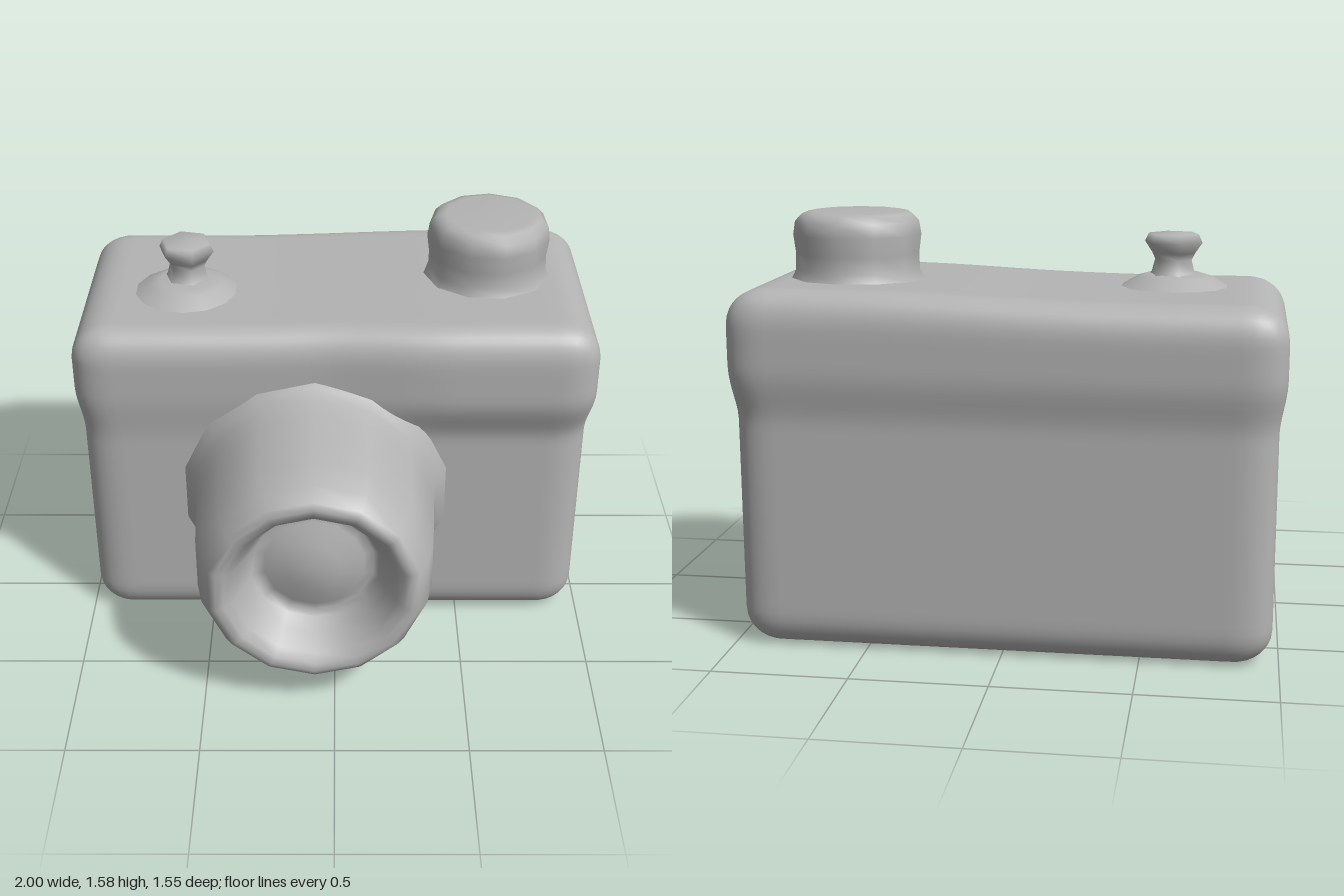
import * as THREE from 'three';
import { mergeVertices } from 'three/addons/utils/BufferGeometryUtils.js';

const { smoothstep, clamp } = THREE.MathUtils;

// Smooth turned part from [radius, height] pairs, listed bottom to top
function turned(profile, sides, turn = 0) {
  const points = profile.map(([r, h]) => new THREE.Vector2(r, h));
  return new THREE.LatheGeometry(points, sides).rotateY(turn);
}

// Moves every vertex by a rule
function reshape(geometry, rule) {
  const pos = geometry.attributes.position;
  const p = new THREE.Vector3();
  for (let i = 0; i < pos.count; i++) {
    p.fromBufferAttribute(pos, i);
    rule(p);
    pos.setXYZ(i, p.x, p.y, p.z);
  }
  return geometry;
}

// Box with rounded edges and a softly swollen upper band
function bodyGeometry() {
  const half = [0.975, 0.65, 0.463];
  const radius = [0.14, 0.13, 0.1];
  let geometry = new THREE.BoxGeometry(2, 2, 2, 48, 40, 32);
  geometry.deleteAttribute('uv');
  geometry.deleteAttribute('normal');
  geometry = mergeVertices(geometry);
  reshape(geometry, (p) => {
    const inner = new THREE.Vector3();
    const dir = new THREE.Vector3();
    ['x', 'y', 'z'].forEach((axis, i) => {
      const limit = half[i] - radius[i];
      const v = p[axis] * half[i];
      inner[axis] = clamp(v, -limit, limit);
      dir[axis] = (v - inner[axis]) / radius[i];
    });
    // round the edges
    dir.normalize();
    p.set(inner.x + dir.x * radius[0], inner.y + dir.y * radius[1], inner.z + dir.z * radius[2]);
    p.y += 0.65;
    // swollen band
    const band = smoothstep(p.y, 0.84, 1.04);
    const right = smoothstep(p.x, -0.1, 0.45);
    p.x *= 1 + 0.025 * band;
    p.z += p.z > 0
      ? band * (0.015 + 0.045 * right) * smoothstep(p.z, 0, 0.4)
      : -band * 0.03 * smoothstep(-p.z, 0, 0.4);
    p.z -= 0.28;
    // top rises towards the dial
    p.y += 0.028 * smoothstep(p.x, -0.5, 0.6) * smoothstep(p.y, 0.9, 1.3);
  });
  geometry.computeVertexNormals();
  return geometry;
}

// Flange, barrel, rolled rim and recessed domed glass
function lensGeometry() {
  const geometry = turned([
    [0.54, 0.14], [0.525, 0.18], [0.495, 0.215], [0.475, 0.27], [0.465, 0.35],
    [0.46, 0.47], [0.452, 0.6], [0.43, 0.7], [0.395, 0.76], [0.37, 0.772],
    [0.34, 0.765], [0.31, 0.735], [0.275, 0.67], [0.245, 0.61], [0.225, 0.59],
    [0.19, 0.6], [0.1, 0.63], [0, 0.64],
  ], 14);
  geometry.rotateX(Math.PI / 2);
  // barrel droops slightly towards the front
  reshape(geometry, (p) => {
    p.y += 0.6 - 0.045 * smoothstep(p.z, 0.15, 0.78);
    p.x -= 0.075;
  });
  geometry.computeVertexNormals();
  // close the shading seam left where the lathe starts and ends
  geometry.deleteAttribute('uv');
  geometry.deleteAttribute('normal');
  const joined = mergeVertices(geometry, 1e-4);
  joined.computeVertexNormals();
  return joined;
}

export function createModel() {
  const model = new THREE.Group();
  model.name = 'camera';
  const grey = new THREE.MeshStandardMaterial({ color: 0xb4b4b4 });
  grey.name = 'plain grey';

  const add = (name, geometry, x = 0, y = 0, z = 0) => {
    const mesh = new THREE.Mesh(geometry, grey);
    mesh.name = name;
    mesh.position.set(x, y, z);
    model.add(mesh);
  };

  add('body', bodyGeometry());
  add('lens', lensGeometry());

  // large dial with a slight waist
  add('dial', turned([
    [0.27, 1.29], [0.25, 1.325], [0.233, 1.36], [0.231, 1.42], [0.24, 1.49],
    [0.232, 1.54], [0.205, 1.567], [0.17, 1.575], [0, 1.577],
  ], 11, 0.2), 0.6, 0, -0.31);

  // low mound under the shutter button
  add('buttonMound', turned([
    [0.23, 1.285], [0.19, 1.305], [0.14, 1.335], [0.1, 1.347], [0, 1.35],
  ], 14), -0.58, 0, -0.2);

  // pinched shutter button
  add('shutterButton', turned([
    [0.1, 1.33], [0.082, 1.355], [0.07, 1.4], [0.082, 1.425], [0.11, 1.465],
    [0.095, 1.496], [0, 1.5],
  ], 6, 0.3), -0.575, 0, -0.22);

  return model;
}
